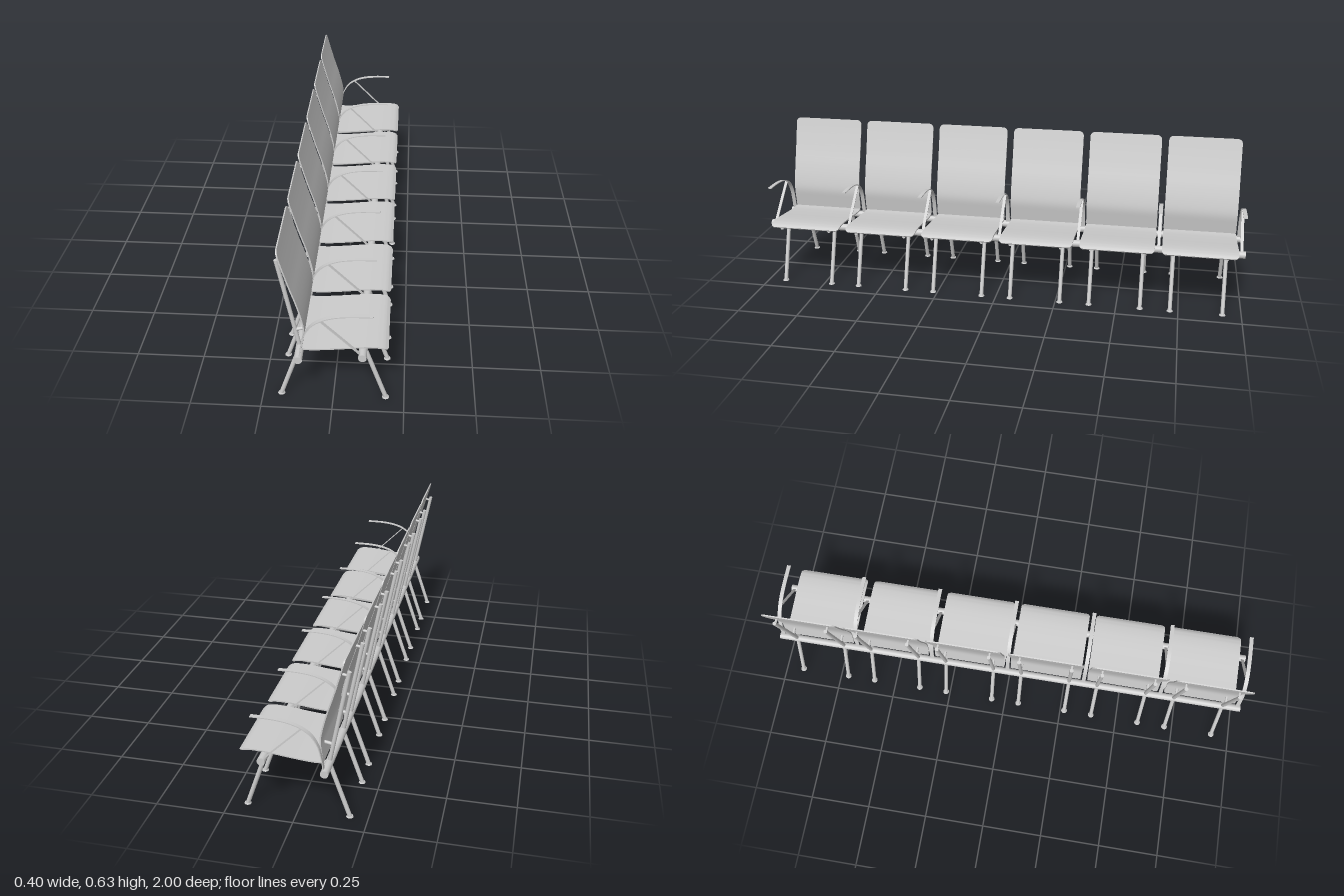
import * as THREE from 'three';
import { toCreasedNormals } from 'three/addons/utils/BufferGeometryUtils.js';

const material = new THREE.MeshStandardMaterial({ color: 0xcccccc });
const PITCH = 0.3285;
const REAR = [-0.114, 0.213], FRONT = [0.105, 0.233]; // beam centres in x, y

function add(parent, name, geometry) {
  const mesh = new THREE.Mesh(geometry, material);
  mesh.name = name;
  parent.add(mesh);
  return mesh;
}

// Round bar between two side-view points at depth z
function bar(parent, name, a, b, radius, z) {
  const p = new THREE.Vector3(a[0], a[1], z), q = new THREE.Vector3(b[0], b[1], z);
  const dir = q.clone().sub(p);
  const mesh = add(parent, name, new THREE.CylinderGeometry(radius, radius, dir.length(), 16));
  mesh.position.copy(p).add(q).multiplyScalar(0.5);
  mesh.quaternion.setFromUnitVectors(new THREE.Vector3(0, 1, 0), dir.normalize());
}

// Curved sheet swept along a side-view profile, with rounded corners at each end
function sheet(points, width, thickness, startRadius = 0, endRadius = 0) {
  const curve = new THREE.CatmullRomCurve3(points.map(([x, y]) => new THREE.Vector3(x, y, 0)));
  curve.arcLengthDivisions = 600;
  const length = curve.getLength();
  const stops = [];
  for (let i = 0; i <= 36; i++) stops.push((length * i) / 36);
  for (let i = 1; i < 8; i++) {
    const k = 1 - Math.cos((i / 8) * Math.PI / 2);
    if (startRadius) stops.push(startRadius * k);
    if (endRadius) stops.push(length - endRadius * k);
  }
  stops.sort((a, b) => a - b);
  const inset = (d, r) => (d < r ? r - Math.sqrt(Math.max(0, r * r - (r - d) ** 2)) : 0);

  const position = [], index = [];
  stops.forEach((s, i) => {
    const u = Math.min(1, s / length);
    const p = curve.getPointAt(u), t = curve.getTangentAt(u);
    const nx = -t.y * thickness / 2, ny = t.x * thickness / 2;
    const h = width / 2 - inset(s, startRadius) - inset(length - s, endRadius);
    position.push(p.x + nx, p.y + ny, h, p.x + nx, p.y + ny, -h,
      p.x - nx, p.y - ny, -h, p.x - nx, p.y - ny, h);
    if (i === 0) return;
    const a = (i - 1) * 4, b = i * 4;
    for (let k = 0; k < 4; k++) {
      const n = (k + 1) % 4;
      index.push(a + k, b + k, b + n, a + k, b + n, a + n);
    }
  });
  const e = (stops.length - 1) * 4;
  index.push(0, 1, 2, 0, 2, 3, e, e + 2, e + 1, e, e + 3, e + 2);
  const geometry = new THREE.BufferGeometry();
  geometry.setAttribute('position', new THREE.Float32BufferAttribute(position, 3));
  geometry.setIndex(index);
  return toCreasedNormals(geometry, Math.PI / 5);
}

export function createModel() {
  const model = new THREE.Group();
  model.name = 'beamSeating';

  // Two long beams carrying the whole row
  for (const [name, [x, y]] of [['rearBeam', REAR], ['frontBeam', FRONT]]) {
    const beam = add(model, name, new THREE.CylinderGeometry(0.0145, 0.0145, 2, 28));
    beam.rotation.x = Math.PI / 2;
    beam.position.set(x, y, 0);
  }

  const seatGeometry = sheet([[-0.102, 0.24], [-0.07, 0.239], [-0.04, 0.241], [0.02, 0.247],
    [0.08, 0.254], [0.13, 0.258], [0.165, 0.257], [0.18, 0.253], [0.191, 0.246]],
    0.3, 0.005, 0.006, 0.018);
  const backGeometry = sheet([[-0.104, 0.242], [-0.099, 0.28], [-0.095, 0.315], [-0.096, 0.335],
    [-0.1045, 0.378], [-0.119, 0.431], [-0.14, 0.496], [-0.164, 0.578], [-0.178, 0.631]],
    0.3, 0.005, 0.006, 0.02);
  const footGeometry = new THREE.CylinderGeometry(0.011, 0.013, 0.004, 20);

  // Six seats, each with a pair of side frames
  for (let i = 0; i < 6; i++) {
    const seat = new THREE.Group();
    seat.name = 'seatUnit';
    seat.position.z = (i - 2.5) * PITCH;
    model.add(seat);
    add(seat, 'seat', seatGeometry);
    add(seat, 'backrest', backGeometry);
    for (const z of [-0.104, 0.104]) {
      bar(seat, 'rearLeg', REAR, [-0.185, 0.002], 0.008, z);
      bar(seat, 'frontLeg', FRONT, [0.185, 0.002], 0.008, z);
      for (const x of [-0.185, 0.185]) add(seat, 'foot', footGeometry).position.set(x, 0.002, z);
      bar(seat, 'backUpright', REAR, [-0.185, 0.571], 0.0075, z);
      bar(seat, 'seatRail', REAR, [0.181, 0.24], 0.007, z);
      // Short pegs joining the panels to the frame
      bar(seat, 'upperBackPeg', [-0.183, 0.555], [-0.159, 0.56], 0.005, z);
      bar(seat, 'lowerBackPeg', [-0.128, 0.289], [-0.098, 0.295], 0.006, z);
      bar(seat, 'rearSeatPeg', [-0.047, 0.22], [-0.047, 0.239], 0.006, z);
      bar(seat, 'frontSeatPeg', [0.125, 0.236], [0.125, 0.256], 0.006, z);
    }
  }

  // Seven armrests: a bent strap with a diagonal brace
  const armGeometry = sheet([[-0.11, 0.222], [-0.104, 0.262], [-0.092, 0.313], [-0.069, 0.352],
    [-0.037, 0.376], [0.003, 0.391], [0.056, 0.399], [0.139, 0.401]], 0.016, 0.0035);
  const braceGeometry = sheet([[-0.037, 0.374], [0.034, 0.304], FRONT], 0.012, 0.003);
  for (let i = 0; i < 7; i++) {
    const arm = new THREE.Group();
    arm.name = 'armrest';
    arm.position.z = (i - 3) * PITCH;
    add(arm, 'armStrap', armGeometry);
    add(arm, 'armBrace', braceGeometry);
    model.add(arm);
  }
  return model;
}
